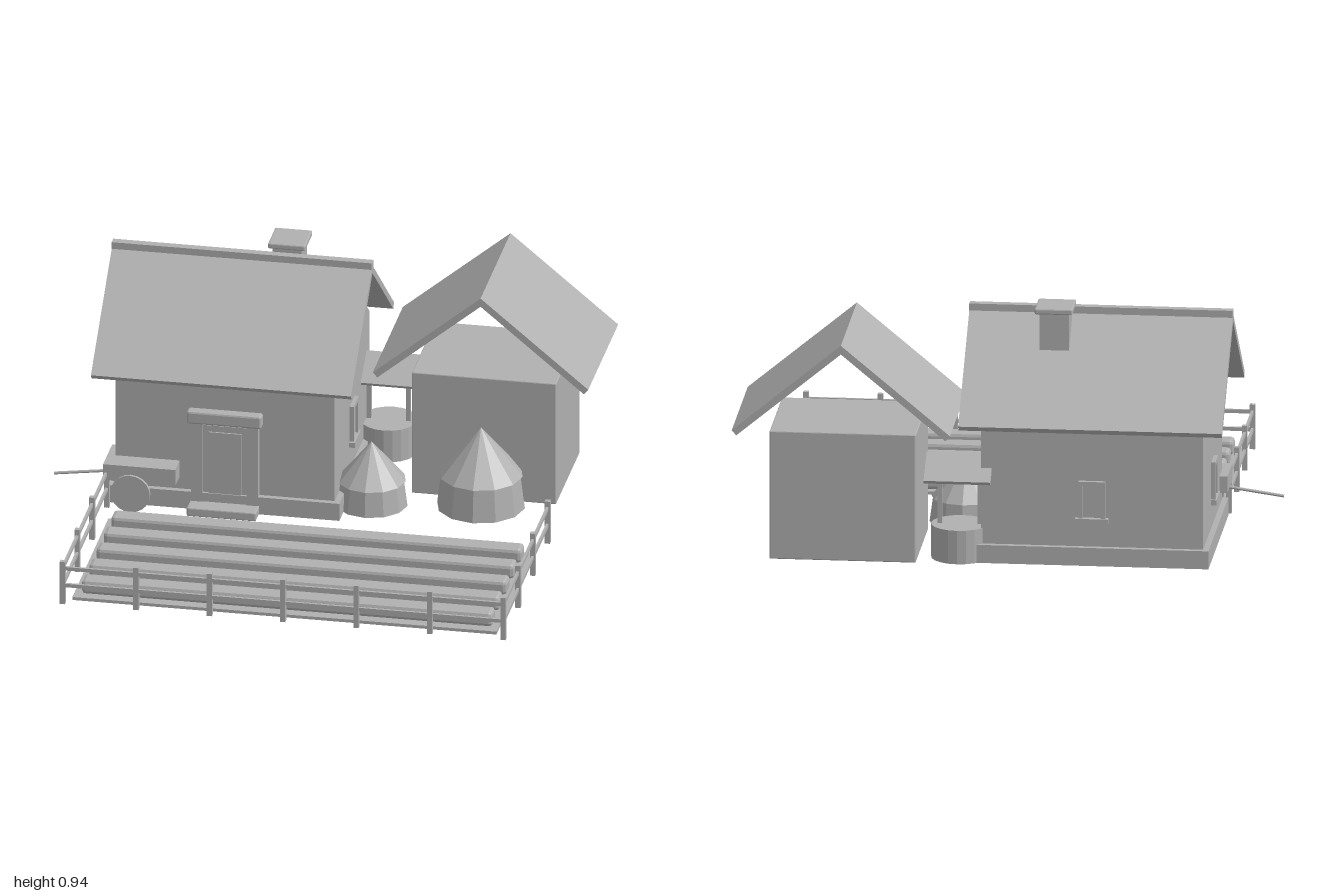
import * as THREE from 'three';
import { RoundedBoxGeometry } from 'three/addons/geometries/RoundedBoxGeometry.js';

const stone = new THREE.MeshStandardMaterial({ color: 0xb0b0b0, flatShading: true });
stone.name = 'plain grey';

function add(parent, name, geometry, x = 0, y = 0, z = 0) {
  const mesh = new THREE.Mesh(geometry, stone);
  mesh.name = name;
  mesh.position.set(x, y, z);
  parent.add(mesh);
  return mesh;
}

// Box given by its min and max on each axis; a bevel rounds its edges
function box(parent, name, x0, x1, y0, y1, z0, z1, bevel = 0) {
  const s = [x1 - x0, y1 - y0, z1 - z0];
  const g = bevel ? new RoundedBoxGeometry(...s, 1, bevel) : new THREE.BoxGeometry(...s);
  return add(parent, name, g, (x0 + x1) / 2, (y0 + y1) / 2, (z0 + z1) / 2);
}

function group(parent, name, x = 0, y = 0, z = 0, turn = 0) {
  const g = new THREE.Group();
  g.name = name;
  g.position.set(x, y, z);
  g.rotation.y = turn;
  parent.add(g);
  return g;
}

// Two sloping slabs meeting at a ridge that runs along x
function gableRoof(parent, name, length, span, ridgeY, eaveY, t) {
  const angle = Math.atan2(ridgeY - eaveY, span);
  const slope = Math.hypot(span, ridgeY - eaveY);
  for (const s of [1, -1]) {
    const slab = add(parent, name, new THREE.BoxGeometry(length, t, slope), 0,
      (ridgeY + eaveY) / 2 - Math.cos(angle) * t / 2,
      s * (span / 2 - Math.sin(angle) * t / 2));
    slab.rotation.x = s * angle;
  }
}

// Framed window facing +z with its back on z = 0
function windowUnit(parent, x, z, turn) {
  const w = group(parent, 'window', x, 0.245, z, turn);
  box(w, 'windowPane', -0.035, 0.035, -0.06, 0.065, -0.01, 0.006);
  for (const s of [1, -1]) box(w, 'windowJamb', s * 0.042 - 0.008, s * 0.042 + 0.008, -0.065, 0.08, -0.01, 0.016);
  box(w, 'windowHead', -0.05, 0.05, 0.063, 0.08, -0.01, 0.016);
  box(w, 'windowSill', -0.062, 0.062, -0.083, -0.063, -0.01, 0.022);
}

function house(root) {
  const h = group(root, 'house', -0.3475, 0, -0.42);
  const hx = 0.4175, hz = 0.343;
  // Walls with gable ends
  const profile = new THREE.Shape([[-hz, 0.02], [hz, 0.02], [hz, 0.54], [0, 0.81], [-hz, 0.54]]
    .map(p => new THREE.Vector2(...p)));
  const walls = new THREE.ExtrudeGeometry(profile, { depth: hx * 2, bevelEnabled: false });
  walls.translate(0, 0, -hx).rotateY(Math.PI / 2);
  add(h, 'houseWalls', walls);
  box(h, 'plinth', -hx - 0.022, hx + 0.022, 0, 0.07, -hz - 0.022, hz + 0.022);
  // Roof, ridge cap and chimney
  gableRoof(h, 'houseRoof', 0.99, 0.425, 0.892, 0.545, 0.025);
  box(h, 'ridgeCap', -0.495, 0.495, 0.88, 0.907, -0.016, 0.016);
  box(h, 'chimney', 0.107, 0.217, 0.72, 0.917, -0.147, -0.035);
  box(h, 'chimneyCap', 0.092, 0.234, 0.915, 0.937, -0.168, -0.022, 0.005);
  // Windows on both ends and the back
  windowUnit(h, hx, 0, Math.PI / 2);
  windowUnit(h, -hx, 0, -Math.PI / 2);
  windowUnit(h, 0, -hz, Math.PI);
  // Front door with frame, lintel and step
  const d = group(h, 'doorway', 0.0025, 0, hz);
  box(d, 'door', -0.085, 0.085, 0.03, 0.345, -0.01, 0.012);
  box(d, 'doorPanel', -0.062, 0.062, 0.06, 0.32, 0.01, 0.018);
  for (const s of [1, -1]) box(d, 'doorJamb', s * 0.106 - 0.022, s * 0.106 + 0.022, 0, 0.358, -0.01, 0.026);
  box(d, 'lintel', -0.142, 0.142, 0.355, 0.407, -0.01, 0.037, 0.008);
  box(d, 'doorStep', -0.132, 0.132, 0, 0.035, 0, 0.09, 0.005);
}

function shed(root) {
  const s = group(root, 'shed', 0.585, 0, -0.58, Math.PI / 2);
  box(s, 'shedWalls', -0.23, 0.23, 0, 0.497, -0.275, 0.275, 0.004);
  gableRoof(s, 'shedRoof', 0.59, 0.41, 0.855, 0.515, 0.026);
}

function well(root) {
  const w = group(root, 'well', 0.155, 0, -0.705);
  add(w, 'wellRing', new THREE.CylinderGeometry(0.108, 0.108, 0.13, 20), 0, 0.065, 0);
  for (const s of [1, -1]) box(w, 'wellPost', s * 0.075 - 0.008, s * 0.075 + 0.008, 0.05, 0.345, -0.008, 0.008);
  const roller = add(w, 'wellRoller', new THREE.CylinderGeometry(0.01, 0.01, 0.18, 8), 0, 0.293, 0);
  roller.rotation.z = Math.PI / 2;
  gableRoof(w, 'wellRoof', 0.25, 0.115, 0.405, 0.323, 0.015);
}

function haystack(root, x, z, r, bodyH, topY) {
  const g = group(root, 'haystack', x, 0, z);
  add(g, 'haystackBody', new THREE.CylinderGeometry(r * 0.9, r, bodyH, 12), 0, bodyH / 2, 0);
  add(g, 'haystackTop', new THREE.ConeGeometry(r * 0.95, topY - bodyH, 12), 0, (topY + bodyH) / 2, 0);
}

function cart(root) {
  const c = group(root, 'handcart', -0.66, 0, -0.08);
  box(c, 'cartTray', -0.135, 0.14, 0.12, 0.185, -0.09, 0.09);
  for (const s of [1, -1]) {
    const wheel = add(c, 'cartWheel', new THREE.CylinderGeometry(0.075, 0.075, 0.014, 20), -0.03, 0.076, s * 0.094);
    wheel.rotation.x = Math.PI / 2;
  }
  // Sloping handle
  const handle = add(c, 'cartHandle', new THREE.CylinderGeometry(0.006, 0.006, 0.26, 8), -0.21, 0.108, 0);
  handle.rotation.z = Math.PI / 2 + 0.14;
}

function field(root) {
  const f = group(root, 'field');
  box(f, 'soil', -0.755, 0.86, 0, 0.012, 0.112, 0.822);
  for (let i = 0; i < 5; i++) {
    const z = 0.177 + i * 0.1435;
    box(f, 'cropRow', -0.727, 0.836, 0.01, 0.067, z - 0.037, z + 0.037, 0.014);
  }
}

function fence(root) {
  const f = group(root, 'fence');
  const x0 = -0.785, x1 = 0.893, z0 = -0.015, z1 = 0.855;
  const post = (x, z) => box(f, 'fencePost', x - 0.01, x + 0.01, 0, 0.173, z - 0.01, z + 0.01);
  for (let i = 0; i <= 6; i++) post(x0 + (x1 - x0) * i / 6, z1);
  for (const x of [x0, x1]) for (let i = 0; i < 3; i++) post(x, z0 + (z1 - z0) * i / 3);
  for (const y of [0.075, 0.144]) {
    box(f, 'frontRail', x0, x1, y - 0.007, y + 0.007, z1 - 0.005, z1 + 0.005);
    for (const x of [x0, x1]) box(f, 'sideRail', x - 0.005, x + 0.005, y - 0.007, y + 0.007, z0, z1);
  }
}

export function createModel() {
  const root = new THREE.Group();
  root.name = 'farmstead';
  house(root);
  shed(root);
  well(root);
  haystack(root, 0.18, -0.235, 0.137, 0.1, 0.254);
  haystack(root, 0.585, -0.295, 0.167, 0.13, 0.32);
  cart(root);
  field(root);
  fence(root);
  return root;
}
